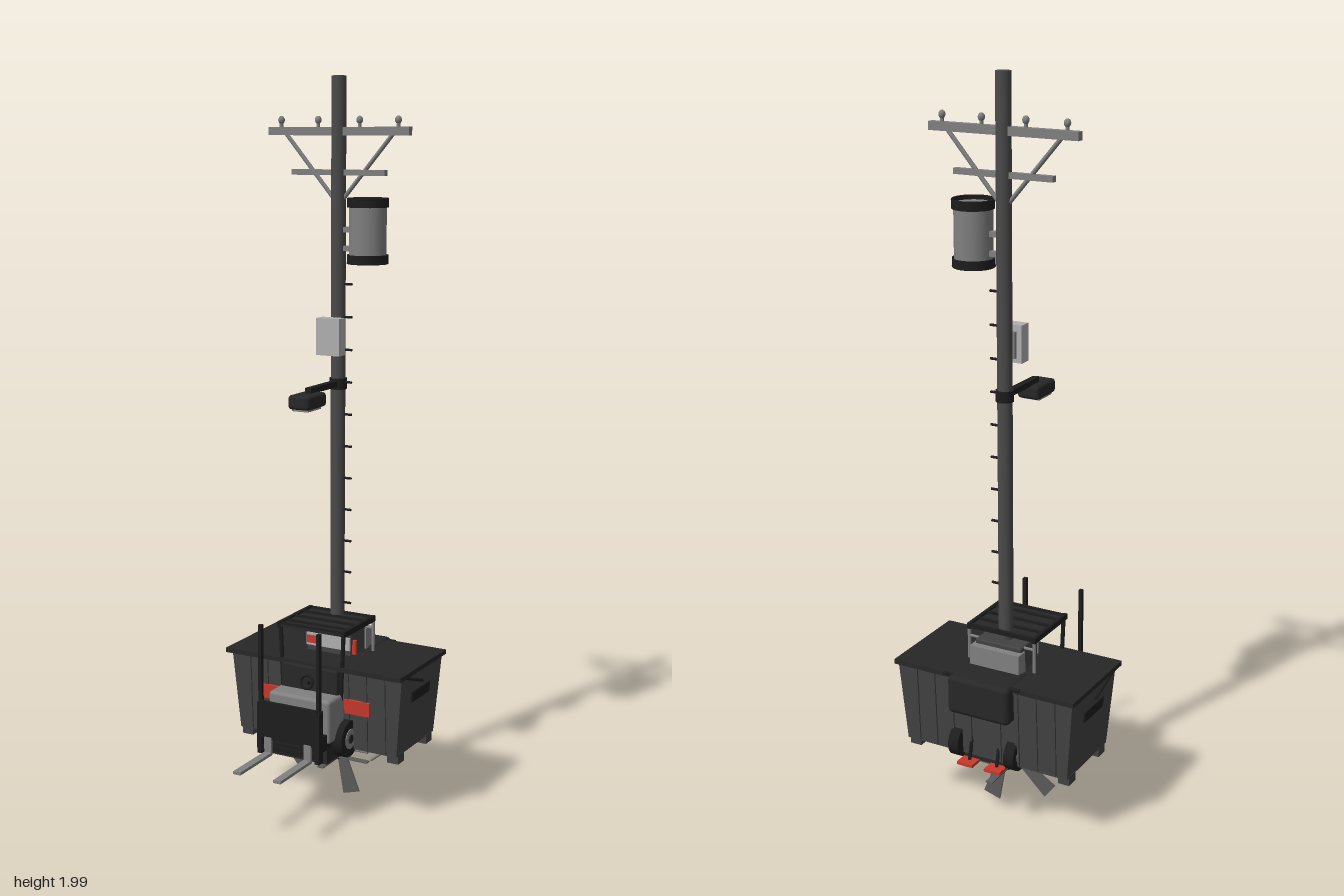
import * as THREE from 'three';
import { RoundedBoxGeometry } from 'three/addons/geometries/RoundedBoxGeometry.js';

const mat = (name, color, side = THREE.FrontSide) => {
  const m = new THREE.MeshStandardMaterial({ color, side });
  m.name = name;
  return m;
};

export function createModel() {
  const root = new THREE.Group();
  root.name = 'forkliftBinAndPole';
  const black = mat('black', 0x1d1d1d, THREE.DoubleSide);
  const dark = mat('darkGrey', 0x272727);
  const bin = mat('binGrey', 0x424242);
  const wood = mat('poleGrey', 0x4a4a4a);
  const blade = mat('bladeGrey', 0x5a5a5a, THREE.DoubleSide);
  const steel = mat('steel', 0x808080);
  const pale = mat('paleGrey', 0xb0b0b0);
  const red = mat('red', 0xc8382c);

  const group = (name) => {
    const g = new THREE.Group();
    g.name = name;
    root.add(g);
    return g;
  };
  const add = (parent, name, geo, m, x = 0, y = 0, z = 0) => {
    const mesh = new THREE.Mesh(geo, m);
    mesh.name = name;
    mesh.position.set(x, y, z);
    parent.add(mesh);
    return mesh;
  };
  // Box given by its extents
  const box = (p, name, m, x0, x1, y0, y1, z0, z1, r = 0) => add(p, name,
    r ? new RoundedBoxGeometry(x1 - x0, y1 - y0, z1 - z0, 2, r) : new THREE.BoxGeometry(x1 - x0, y1 - y0, z1 - z0),
    m, (x0 + x1) / 2, (y0 + y1) / 2, (z0 + z1) / 2);
  const cyl = (p, name, m, r, h, x, y, z, sides = 20, open = false) =>
    add(p, name, new THREE.CylinderGeometry(r, r, h, sides, 1, open), m, x, y, z);
  // Round rod between two points
  const rod = (p, name, m, a, b, r, sides = 8) => {
    const A = new THREE.Vector3(...a), B = new THREE.Vector3(...b);
    const mesh = cyl(p, name, m, r, A.distanceTo(B), 0, 0, 0, sides);
    mesh.position.copy(A).lerp(B, 0.5);
    mesh.quaternion.setFromUnitVectors(new THREE.Vector3(0, 1, 0), B.sub(A).normalize());
    return mesh;
  };

  // ---- Utility pole ----
  const PZ = -0.14;
  const pole = group('utilityPole');
  cyl(pole, 'poleShaft', wood, 0.02, 1.82, 0, 1.09, PZ);
  box(pole, 'crossarm', steel, -0.21, 0.21, 1.846, 1.868, PZ - 0.01, PZ + 0.01);
  box(pole, 'lowerArm', steel, -0.14, 0.14, 1.742, 1.757, PZ - 0.008, PZ + 0.008);
  for (const x of [-0.175, -0.062, 0.062, 0.175]) {
    cyl(pole, 'insulatorPin', steel, 0.005, 0.016, x, 1.874, PZ, 10);
    add(pole, 'insulator', new THREE.SphereGeometry(0.009, 12, 8), steel, x, 1.886, PZ).scale.y = 1.2;
  }
  for (const s of [-1, 1]) rod(pole, 'armBrace', steel, [s * 0.16, 1.85, PZ], [s * 0.005, 1.67, PZ], 0.006);
  for (let i = 0; i < 11; i++)
    rod(pole, 'climbingPeg', black, [0.015, 0.57 + i * 0.0885, PZ], [0.042, 0.57 + i * 0.0885, PZ], 0.0035, 6);

  // Transformer with rimmed ends
  const tr = group('transformer');
  cyl(tr, 'tank', steel, 0.05, 0.15, 0.088, 1.598, PZ, 32);
  for (const y of [1.524, 1.672]) {
    cyl(tr, 'rim', black, 0.055, 0.024, 0.088, y, PZ, 32, true);
    const lip = add(tr, 'rimLip', new THREE.TorusGeometry(0.053, 0.003, 6, 32), black, 0.088, y + (y > 1.6 ? 0.01 : -0.01), PZ);
    lip.rotation.x = Math.PI / 2;
  }
  for (const y of [1.55, 1.6]) box(tr, 'bracket', steel, 0.015, 0.045, y - 0.007, y + 0.007, PZ - 0.008, PZ + 0.008);

  // Meter box
  box(pole, 'meterBox', pale, -0.035, 0.035, 1.267, 1.367, -0.114, -0.079);
  box(pole, 'meterBackplate', steel, -0.02, 0.02, 1.28, 1.35, -0.124, -0.114);

  // Street lamp
  const lamp = group('streetLamp');
  box(lamp, 'lampArm', black, -0.009, 0.009, 1.178, 1.194, -0.13, 0.026);
  cyl(lamp, 'lampCollar', black, 0.024, 0.03, 0, 1.185, PZ);
  box(lamp, 'lampHead', dark, -0.032, 0.032, 1.142, 1.18, -0.02, 0.08, 0.009);
  box(lamp, 'lampLens', steel, -0.024, 0.024, 1.137, 1.143, 0.0, 0.07);

  // ---- Waste bin: walls taper toward the floor ----
  const dump = group('wasteBin');
  const hx = (y) => 0.246 + (y - 0.195) * 0.085;
  const zFront = (y) => -0.022 + (y - 0.195) * 0.05;
  const zBack = (y) => -0.255 - (y - 0.195) * 0.045;
  const shell = new THREE.BoxGeometry(2, 1, 2);
  const sp = shell.attributes.position;
  for (let i = 0; i < sp.count; i++) {
    const y = sp.getY(i) > 0 ? 0.425 : 0.195;
    sp.setXYZ(i, sp.getX(i) * hx(y), y, sp.getZ(i) > 0 ? zFront(y) : zBack(y));
  }
  shell.computeVertexNormals();
  add(dump, 'binShell', shell, bin);
  box(dump, 'binLid', dark, -0.273, 0.273, 0.421, 0.434, -0.275, 0.012);
  rod(dump, 'lidHinge', black, [-0.115, 0.432, -0.275], [0.115, 0.432, -0.275], 0.005);
  for (const x of [-0.21, -0.155, -0.1, -0.045, 0.045, 0.1, 0.155, 0.21]) {
    for (const f of [zFront, zBack]) {
      const rib = box(dump, 'binRib', bin, x - 0.006, x + 0.006, 0.2, 0.421, -0.005, 0.005);
      rib.position.z = f(0.31);
      rib.rotation.x = f === zFront ? 0.05 : -0.045;
    }
  }
  for (const s of [-1, 1]) {
    for (const z of [-0.05, -0.225]) box(dump, 'binFoot', bin, s * 0.23 - 0.017, s * 0.23 + 0.017, 0.172, 0.2, z - 0.018, z + 0.018);
    const slot = box(dump, 'handleSlot', black, -0.004, 0.004, 0.337, 0.367, -0.19, -0.08);
    slot.position.x = s * (hx(0.352) + 0.001);
    slot.rotation.z = -s * 0.085;
    const mark = box(dump, 'redMarker', red, s * 0.132 - 0.038, s * 0.132 + 0.038, 0.3, 0.34, -0.004, 0.004);
    mark.position.z = zFront(0.32) + 0.005;
    mark.rotation.x = 0.05;
  }

  // ---- Forklift ----
  const fl = group('forklift');
  box(fl, 'chassis', dark, -0.088, 0.088, 0.18, 0.25, -0.25, 0.08);
  box(fl, 'frontAxleCover', black, -0.088, 0.088, 0.222, 0.265, 0.06, 0.113);
  box(fl, 'counterweight', dark, -0.093, 0.093, 0.33, 0.438, -0.3, -0.18, 0.014);
  box(fl, 'frontCowl', steel, -0.095, 0.095, 0.235, 0.358, -0.01, 0.08, 0.01);
  box(fl, 'dashboard', dark, -0.088, 0.088, 0.35, 0.425, -0.02, 0.022, 0.006);
  const wheelRing = add(fl, 'steeringWheel', new THREE.TorusGeometry(0.018, 0.004, 8, 20), black, 0, 0.385, 0.034);
  wheelRing.rotation.x = -0.3;
  rod(fl, 'steeringColumn', black, [0, 0.375, 0.01], [0, 0.385, 0.034], 0.005);
  for (const s of [-1, 1]) rod(fl, 'sideLever', black, [s * 0.268, 0.425, -0.02], [s * 0.268, 0.385, -0.135], 0.004);

  // Operator seat block with signal plate
  box(fl, 'seatBlock', bin, -0.07, 0.07, 0.43, 0.505, -0.185, -0.09, 0.005);
  box(fl, 'seatBack', steel, -0.075, 0.075, 0.43, 0.492, -0.206, -0.17);
  box(fl, 'signalPlate', pale, -0.068, 0.068, 0.45, 0.486, -0.091, -0.084);
  box(fl, 'signalLight', red, -0.064, -0.034, 0.457, 0.479, -0.085, -0.08);
  box(fl, 'sideSignal', red, 0.074, 0.084, 0.44, 0.48, -0.1, -0.09);

  // Overhead guard
  const roofGeo = new THREE.BoxGeometry(0.2, 0.008, 0.18);
  add(fl, 'guardRoof', roofGeo, dark, 0, 0.526, -0.077);
  for (const z of [-0.165, -0.12, -0.072, -0.025, 0.008])
    box(fl, 'guardSlat', black, -0.104, 0.104, 0.524, 0.535, z - 0.005, z + 0.005);
  for (const s of [-1, 1]) {
    box(fl, 'guardRail', black, s * 0.1 - 0.005, s * 0.1 + 0.005, 0.52, 0.536, -0.17, 0.015);
    rod(fl, 'guardFrontPost', black, [s * 0.09, 0.34, 0.006], [s * 0.098, 0.526, 0.006], 0.006);
    rod(fl, 'guardRearPost', steel, [s * 0.1, 0.43, -0.165], [s * 0.1, 0.525, -0.165], 0.005);
  }
  rod(fl, 'guardRearBar', steel, [-0.1, 0.5, -0.165], [0.1, 0.5, -0.165], 0.004);

  // Mast, carriage and forks
  for (const s of [-1, 1]) {
    box(fl, 'mastRail', black, s * 0.089 - 0.005, s * 0.089 + 0.005, 0.21, 0.56, 0.122, 0.134);
    box(fl, 'mastChannel', black, s * 0.089 - 0.007, s * 0.089 + 0.007, 0.2, 0.345, 0.116, 0.138);
    box(fl, 'forkUpright', steel, s * 0.061 - 0.011, s * 0.061 + 0.011, 0.2, 0.25, 0.134, 0.141);
    box(fl, 'fork', steel, s * 0.061 - 0.011, s * 0.061 + 0.011, 0.2, 0.208, 0.134, 0.3);
  }
  box(fl, 'carriage', black, -0.09, 0.09, 0.245, 0.35, 0.13, 0.138);
  box(fl, 'mastLowerBar', black, -0.09, 0.09, 0.21, 0.225, 0.124, 0.134);
  box(fl, 'mastMount', black, -0.05, 0.05, 0.215, 0.235, 0.1, 0.128);

  // Wheels
  const wheel = (name, s, x, z, r, w) => {
    const g = new THREE.Group();
    g.name = name;
    g.position.set(s * x, 0.18 + r, z);
    g.rotation.z = -s * Math.PI / 2;
    fl.add(g);
    cyl(g, 'tyre', black, r, w, 0, 0, 0, 28);
    cyl(g, 'rim', steel, r * 0.55, 0.004, 0, w / 2, 0, 20);
    cyl(g, 'hub', dark, r * 0.25, 0.008, 0, w / 2, 0, 12);
  };
  for (const s of [-1, 1]) {
    wheel('frontWheel', s, 0.1, -0.003, 0.051, 0.03);
    wheel('rearWheel', s, 0.085, -0.24, 0.045, 0.03);
    // Rear pedals
    box(fl, 'rearPedal', red, s * 0.042 - 0.024, s * 0.042 + 0.024, 0.18, 0.188, -0.297, -0.258);
    rod(fl, 'pedalArm', black, [s * 0.042, 0.185, -0.27], [s * 0.042, 0.27, -0.25], 0.005);
    rod(fl, 'underRail', steel, [s * 0.05, 0.172, -0.26], [s * 0.05, 0.172, 0.0], 0.006);
    rod(fl, 'underBrace', steel, [s * 0.05, 0.172, -0.08], [0, 0.145, PZ], 0.004);
  }
  rod(fl, 'linkRod', steel, [0.02, 0.17, -0.1], [0.18, 0.165, -0.1], 0.005);
  rod(fl, 'linkArm', steel, [0.13, 0.14, -0.1], [0.18, 0.18, -0.1], 0.004);
  rod(fl, 'underCrossbar', steel, [-0.12, 0.178, -0.06], [0.14, 0.178, -0.06], 0.005);

  // ---- Fan beneath the chassis ----
  const fan = group('fan');
  const outline = new THREE.Shape([[-0.009, 0.01], [0.009, 0.01], [0.026, 0.172], [-0.026, 0.172]]
    .map((p) => new THREE.Vector2(...p)));
  const bladeGeo = new THREE.ExtrudeGeometry(outline, { depth: 0.004, bevelEnabled: false });
  for (const deg of [-164, 128])
    add(fan, 'fanBlade', bladeGeo, blade, 0, 0.178, PZ - 0.002).rotation.z = THREE.MathUtils.degToRad(deg);
  const hub = cyl(fan, 'fanHub', black, 0.025, 0.03, 0, 0.172, PZ);
  hub.rotation.x = Math.PI / 2;
  cyl(fan, 'rotorShaft', dark, 0.006, 0.08, 0, 0.145, PZ, 12);
  cyl(fan, 'rotorHub', black, 0.013, 0.01, 0, 0.113, PZ, 16);
  box(fan, 'rotorBladeLong', blade, -0.01, 0.01, 0.111, 0.114, PZ - 0.1, PZ + 0.1);
  box(fan, 'rotorBladeSide', blade, 0, 0.1, 0.111, 0.114, PZ - 0.01, PZ + 0.01);

  return root;
}
